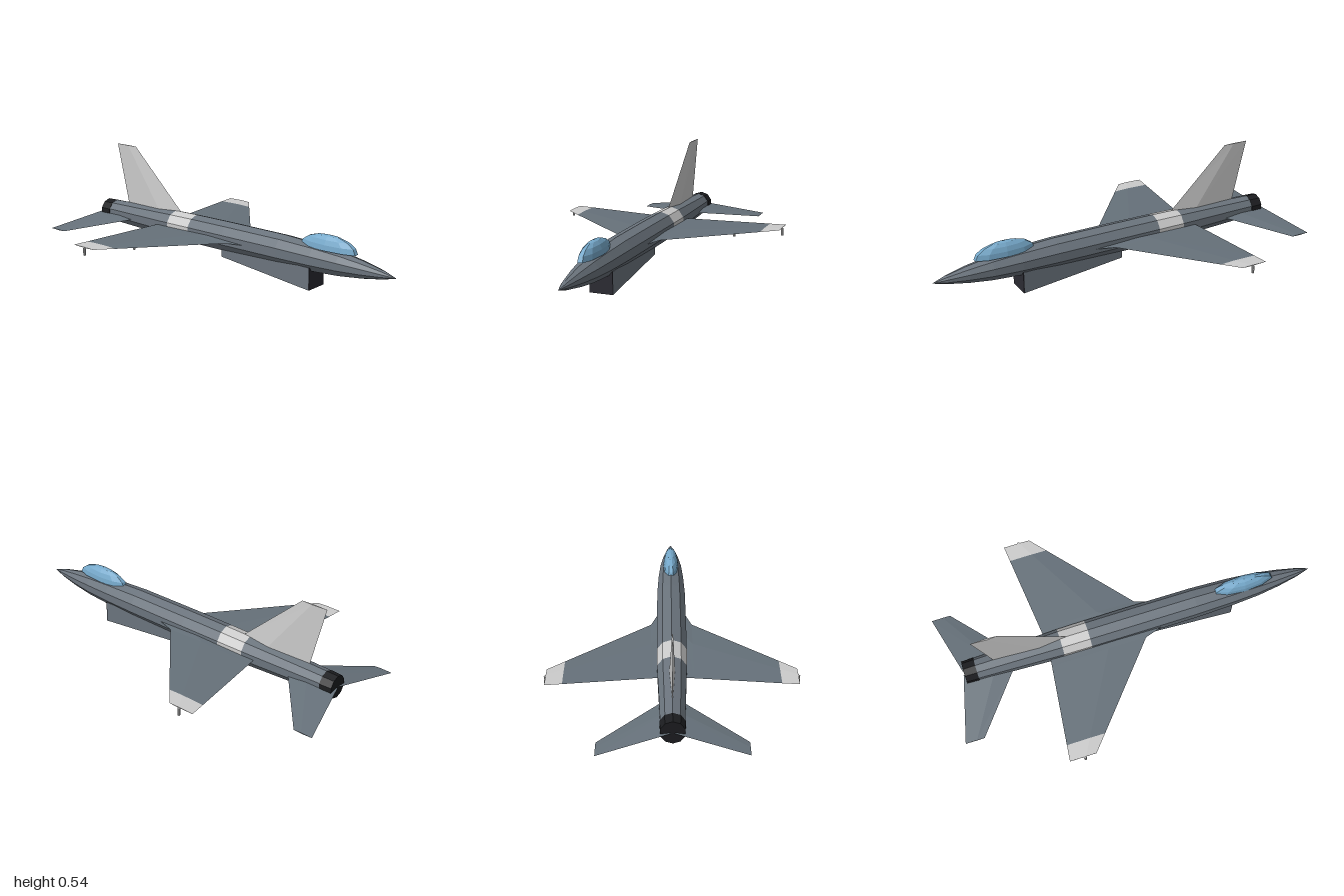
import * as THREE from 'three';

const mat = (color) => new THREE.MeshStandardMaterial({ color, flatShading: true });
const GREY = mat(0x6b747d), WING = mat(0x66717a), LIGHT = mat(0xcccccc);
const BLACK = mat(0x1c1d20), GLASS = mat(0x76a9cb), DARK = mat(0x2b2b32);

// Closed flat-shaded skin through equal-sized rings of [x, y, z] points
function loft(rings) {
  const tris = [], n = rings[0].length;
  for (let i = 0; i < rings.length - 1; i++) {
    for (let j = 0; j < n; j++) {
      const k = (j + 1) % n, a = rings[i], b = rings[i + 1];
      tris.push([a[j], a[k], b[k]], [a[j], b[k], b[j]]);
    }
  }
  const first = rings[0], last = rings[rings.length - 1];
  for (let j = 1; j < n - 1; j++) {
    tris.push([first[0], first[j + 1], first[j]], [last[0], last[j], last[j + 1]]);
  }
  // Turn all faces outward, whichever way the rings run
  const v = (p) => new THREE.Vector3(...p);
  const volume = tris.reduce((s, [a, b, c]) => s + v(a).dot(v(b).cross(v(c))), 0);
  const pos = tris.flatMap(([a, b, c]) => (volume < 0 ? [a, c, b] : [a, b, c])).flat();
  const g = new THREE.BufferGeometry();
  g.setAttribute('position', new THREE.Float32BufferAttribute(pos, 3));
  g.computeVertexNormals();
  return g;
}

// Ten-sided body ring with a point at top and bottom
function bodyRing([z, r, cy]) {
  return Array.from({ length: 10 }, (_, i) => {
    const a = Math.PI / 2 + (i * Math.PI) / 5;
    return [Math.cos(a) * r, cy + Math.sin(a) * r, z];
  });
}

// Diamond airfoil section lying flat: leading edge, crest, trailing edge, keel
function foil(x, y, front, back, half) {
  const mid = front + (back - front) * 0.4;
  return [[x, y, front], [x, y + half, mid], [x, y, back], [x, y - half, mid]];
}

export function createModel() {
  const model = new THREE.Group();
  const add = (name, geometry, material) => {
    const mesh = new THREE.Mesh(geometry, material);
    mesh.name = name;
    model.add(mesh);
    return mesh;
  };

  // Fuselage stations: z, radius, centre height
  const stations = [
    [1.0, 0.001, 0.145], [0.93, 0.022, 0.147], [0.82, 0.044, 0.149], [0.7, 0.061, 0.151],
    [0.55, 0.072, 0.153], [0.35, 0.079, 0.155], [0.0, 0.08, 0.154], [-0.235, 0.079, 0.153],
    [-0.385, 0.077, 0.152], [-0.65, 0.067, 0.152], [-0.85, 0.06, 0.152],
  ].map(bodyRing);
  add('forwardFuselage', loft(stations.slice(0, 8)), GREY);
  add('fuselageBand', loft(stations.slice(7, 9)), LIGHT);
  add('rearFuselage', loft(stations.slice(8)), GREY);
  add('nozzle', loft([[-0.84, 0.063, 0.15], [-0.905, 0.06, 0.15]].map(bodyRing)), BLACK);

  // Faceted canopy dome
  const dome = new THREE.SphereGeometry(1, 10, 4, 0, Math.PI * 2, 0, Math.PI / 2);
  dome.scale(0.042, 0.073, 0.168);
  const canopy = add('canopy', dome, GLASS.clone());
  canopy.material.side = THREE.DoubleSide;
  canopy.position.set(0, 0.212, 0.62);

  // Belly intake, deepest at its mouth
  const duct = (z, w, bottom, top) => [[-w, bottom, z], [w, bottom, z], [w, top, z], [-w, top, z]];
  add('intake', loft([duct(0.546, 0.061, 0, 0.115), duct(-0.02, 0.05, 0.055, 0.12)]), GREY);
  add('intakeMouth', loft([duct(0.55, 0.061, 0, 0.115), duct(0.546, 0.061, 0, 0.115)]), DARK);

  // Wings, tips, tailplanes and wing pegs, mirrored
  for (const [side, s] of [['left', 1], ['right', -1]]) {
    const tipJoin = foil(s * 0.53, 0.153, -0.308, -0.511, 0.003);
    add(side + 'Wing', loft([
      foil(s * 0.04, 0.153, 0.25, -0.457, 0.01),
      foil(s * 0.074, 0.153, 0.15, -0.461, 0.009),
      foil(s * 0.106, 0.153, 0.05, -0.464, 0.008),
      tipJoin,
    ]), WING);
    add(side + 'WingTip', loft([tipJoin, foil(s * 0.615, 0.153, -0.38, -0.52, 0.002)]), LIGHT);
    add(side + 'Tailplane', loft([
      foil(s * 0.01, 0.149, -0.62, -0.912, 0.008),
      foil(s * 0.35, 0.093, -0.9, -1.0, 0.002),
    ]), WING);
    for (const [name, x, z] of [['InnerPeg', 0.385, -0.32], ['OuterPeg', 0.617, -0.44]]) {
      const peg = add(side + name, new THREE.CylinderGeometry(0.007, 0.007, 0.038, 8), LIGHT);
      peg.position.set(s * x, 0.132, z);
    }
  }

  // Upright fin: the same airfoil stood on end
  const fin = (y, front, back, half) =>
    foil(y, 0, front, back, half).map(([h, t, z]) => [t, h, z]);
  add('fin', loft([fin(0.2, -0.318, -0.74, 0.014), fin(0.54, -0.68, -0.82, 0.004)]), LIGHT);

  return model;
}
